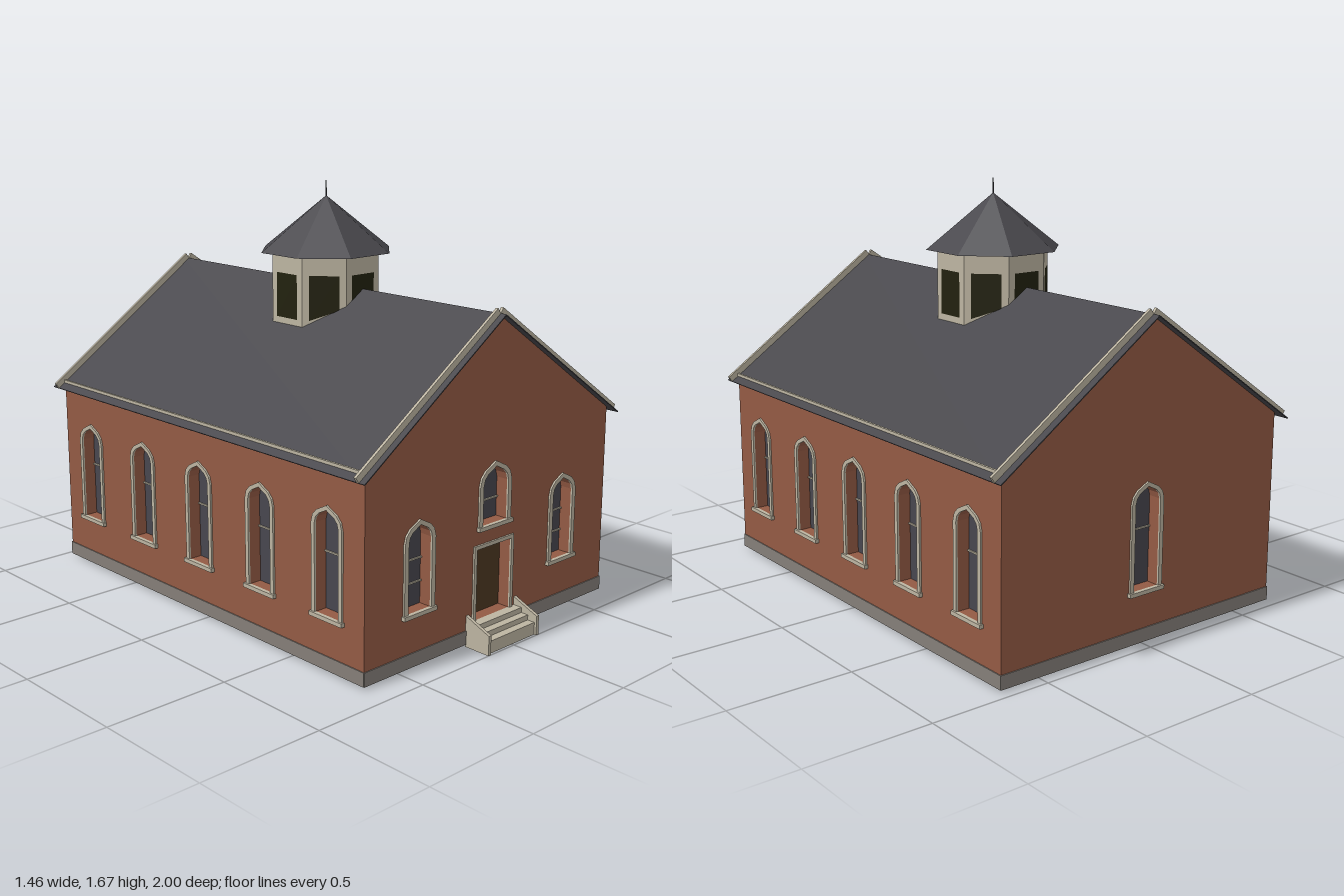
import * as THREE from 'three';

const mat = (name, color) => {
  const m = new THREE.MeshStandardMaterial({ color, flatShading: true, side: THREE.DoubleSide });
  m.name = name;
  return m;
};

const HALF_W = 0.68, FRONT = 0.885, BACK = -0.96, MID = (FRONT + BACK) / 2;
const EAVE_X = 0.715, EAVE_Y = 0.77, RIDGE = 1.26, BASE = 0.01;
const SLOPE = (RIDGE - EAVE_Y) / EAVE_X;
const roofY = (x) => RIDGE - Math.abs(x) * SLOPE;

export function createModel() {
  const brick = mat('brick', 0x935a44);
  const stone = mat('pale stone', 0xbcb4a1);
  const slate = mat('slate', 0x47464b);
  const glass = mat('window glass', 0x47464e);
  const footing = mat('foundation grey', 0x847e78);
  const wood = mat('door wood', 0x4c3722);
  const shade = mat('louvre dark', 0x22210f);

  const model = new THREE.Group();
  model.name = 'church';

  const add = (parent, name, geometry, material, x = 0, y = 0, z = 0) => {
    const mesh = new THREE.Mesh(geometry, material);
    mesh.name = name;
    mesh.position.set(x, y, z);
    parent.add(mesh);
    return mesh;
  };
  const box = (parent, name, material, w, h, d, x, y, z) =>
    add(parent, name, new THREE.BoxGeometry(w, h, d), material, x, y, z);
  const toShape = (pts) => new THREE.Shape(pts.map(([x, y]) => new THREE.Vector2(x, y)));

  // Outline of an opening: square head, or a low pointed arch above the spring line
  const outline = (x, w, y0, spring, top) => {
    const h = top - spring;
    const head = h > 0
      ? [[-w, spring], [-w * 0.9, spring + h * 0.38], [-w * 0.65, spring + h * 0.66], [0, top],
        [w * 0.65, spring + h * 0.66], [w * 0.9, spring + h * 0.38], [w, spring]]
      : [[-w, top], [w, top]];
    return [[-w, y0], ...head, [w, y0]].map(([px, py]) => [px + x, py]);
  };

  // Sides of a recess running back from the wall face
  const recess = (pts, depth) => {
    const pos = [];
    pts.forEach(([ax, ay], i) => {
      const [bx, by] = pts[(i + 1) % pts.length];
      pos.push(ax, ay, 0, bx, by, 0, bx, by, -depth, ax, ay, 0, bx, by, -depth, ax, ay, -depth);
    });
    const g = new THREE.BufferGeometry();
    g.setAttribute('position', new THREE.Float32BufferAttribute(pos, 3));
    g.computeVertexNormals();
    return g;
  };

  const DEPTH = 0.05;
  // A wall in its own plane with recessed openings
  const wall = (name, pts, openings, x, z, turn) => {
    const g = new THREE.Group();
    g.name = name;
    g.position.set(x, 0, z);
    g.rotation.y = turn;
    model.add(g);
    const face = toShape(pts);
    for (const o of openings) {
      const inner = outline(o.x, o.w, o.y0, o.spring, o.top);
      const outer = outline(o.x, o.w + o.trim, o.y0, o.spring + (o.door ? o.trim : 0), o.top + o.trim);
      face.holes.push(toShape(inner));
      const label = o.door ? 'door' : 'window';
      add(g, label + 'Recess', recess(inner, DEPTH), brick);
      add(g, label + 'Panel', new THREE.ShapeGeometry(toShape(inner)), o.door ? wood : glass, 0, 0, -DEPTH);
      add(g, label + 'Frame', new THREE.ExtrudeGeometry(toShape([...outer, ...inner.slice().reverse()]),
        { depth: 0.008, bevelEnabled: false }), stone);
      if (!o.door) box(g, 'windowSill', stone, 2 * (o.w + o.trim) + 0.012, 0.016, 0.016, o.x, o.y0 - 0.007, 0.008);
      for (const y of o.bars || []) box(g, 'glazingBar', stone, 2 * o.w, 0.006, 0.006, o.x, y, -DEPTH + 0.004);
    }
    add(g, 'wallFace', new THREE.ShapeGeometry(face), brick);
    const width = 2 * pts[1][0];
    box(g, 'foundation', footing, width + 0.004, 0.055, 0.004, 0, BASE + 0.0275, 0.002);
  };

  const top = roofY(HALF_W) - 0.004;
  const gable = [[-HALF_W, BASE], [HALF_W, BASE], [HALF_W, top], [0, RIDGE - 0.004], [-HALF_W, top]];
  const tall = (x) => ({ x, w: 0.062, y0: 0.22, spring: 0.56, top: 0.62, trim: 0.018, bars: [0.442] });
  const low = (x) => ({ x, w: 0.06, y0: 0.22, spring: 0.49, top: 0.55, trim: 0.02, bars: [0.31, 0.4] });

  wall('frontWall', gable, [
    low(-0.407), low(0.407),
    { x: 0, w: 0.07, y0: 0.46, spring: 0.615, top: 0.683, trim: 0.02, bars: [0.538] },
    { x: 0, w: 0.098, y0: 0.092, spring: 0.375, top: 0.375, trim: 0.015, door: true },
  ], 0, FRONT, 0);
  wall('backWall', gable, [tall(0)], 0, BACK, Math.PI);

  const half = (FRONT - BACK) / 2;
  const sideFace = [[-half, BASE], [half, BASE], [half, top], [-half, top]];
  const bays = [-2, -1, 0, 1, 2].map((k) => tall(k * 0.368));
  for (const s of [1, -1]) wall(s > 0 ? 'leftWall' : 'rightWall', sideFace, bays, s * HALF_W, MID, s * Math.PI / 2);

  // Roof slopes, raking copings and eave strips
  const slopeLen = Math.hypot(EAVE_X, RIDGE - EAVE_Y), pitch = Math.atan(SLOPE);
  const slopeBox = (name, material, s, lift, thick, depth, z) => {
    const off = lift + thick / 2;
    const m = box(model, name, material, slopeLen, thick, depth,
      s * (EAVE_X / 2 + Math.sin(pitch) * off), (RIDGE + EAVE_Y) / 2 + Math.cos(pitch) * off, z);
    m.rotation.z = -s * pitch;
  };
  for (const s of [1, -1]) {
    slopeBox('roofSlope', slate, s, -0.004, 0.004, 1.918, -0.041);
    for (const z of [FRONT, BACK - 0.003]) slopeBox('gableCoping', stone, s, 0, 0.025, 0.012, z);
    box(model, 'eaveStrip', stone, 0.01, 0.012, FRONT - BACK, s * 0.683, roofY(0.683) + 0.004, MID);
  }

  // Eight-sided cupola, its feet following the roof
  const cupola = new THREE.Group();
  cupola.name = 'cupola';
  cupola.position.z = -0.04;
  model.add(cupola);
  const APOTHEM = 0.213, toCorner = 1 / Math.cos(Math.PI / 8);
  const trimToRoof = (g, floor) => {
    const p = g.attributes.position;
    for (let i = 0; i < p.count; i++) {
      if (p.getY(i) < 1.25) p.setY(i, Math.max(floor, roofY(p.getX(i)) - 0.003));
    }
    g.computeVertexNormals();
    return g;
  };
  const drum = new THREE.CylinderGeometry(APOTHEM * toCorner, APOTHEM * toCorner, 0.29, 8, 1, true)
    .rotateY(Math.PI / 8).translate(0, 1.255, 0);
  add(cupola, 'cupolaDrum', trimToRoof(drum, 1.1), stone);
  for (let i = 0; i < 8; i++) {
    const plate = new THREE.PlaneGeometry(0.12, 0.18).translate(0, 1.23, APOTHEM + 0.002).rotateY(i * Math.PI / 4);
    add(cupola, 'cupolaOpening', trimToRoof(plate, 1.14), shade);
  }
  add(cupola, 'cupolaRoof', new THREE.ConeGeometry(0.256 * toCorner, 0.22, 8).rotateY(Math.PI / 8), slate, 0, 1.505, 0);
  add(cupola, 'spire', new THREE.CylinderGeometry(0.002, 0.003, 0.065, 6), slate, 0, 1.6425, 0);

  // Entrance steps between sloping cheek walls
  const steps = new THREE.Group();
  steps.name = 'entranceSteps';
  model.add(steps);
  [[0.99, 0.05], [0.957, 0.071], [0.925, 0.092]].forEach(([z, h]) =>
    box(steps, 'step', stone, 0.264, h, z - FRONT, 0, h / 2, (z + FRONT) / 2));
  const cheek = toShape([[-1, 0], [-FRONT, 0], [-FRONT, 0.125], [-1, 0.078]]);
  for (const x of [-0.146, 0.132]) {
    add(steps, 'cheekWall', new THREE.ExtrudeGeometry(cheek, { depth: 0.014, bevelEnabled: false })
      .rotateY(Math.PI / 2), stone, x, 0, 0);
  }
  return model;
}
